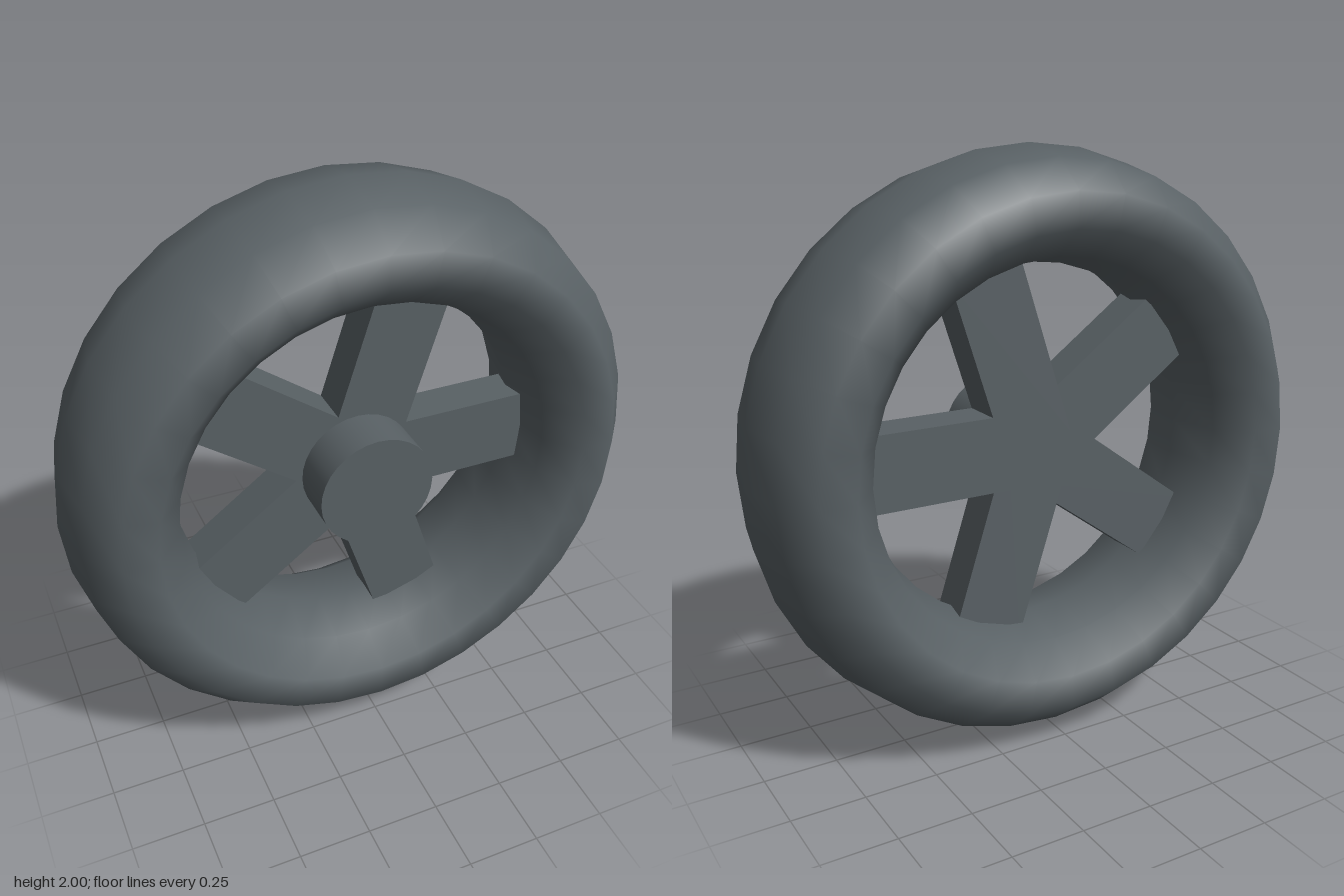
import * as THREE from 'three';

export function createModel() {
  const wheel = new THREE.Group();
  wheel.name = 'wheel';
  const rubber = new THREE.MeshStandardMaterial({ name: 'darkGrey', color: 0x596165 });

  const add = (name, geometry) => {
    const mesh = new THREE.Mesh(geometry, rubber);
    mesh.name = name;
    mesh.position.y = 1;
    wheel.add(mesh);
    return mesh;
  };

  // Tyre: a ring stretched along the axle
  const tyre = new THREE.TorusGeometry(0.81, 0.19, 10, 32);
  tyre.scale(1, 1, 1.667);
  add('tyre', tyre);

  // Five spokes, their outer ends sunk into the tyre
  const spoke = new THREE.BoxGeometry(0.66, 0.26, 0.15);
  spoke.translate(0.33, 0, 0);
  for (let i = 0; i < 5; i++) {
    add('spoke' + (i + 1), spoke).rotation.z = (i * Math.PI * 2) / 5;
  }

  // Hub, standing out at the front only
  const hub = new THREE.CylinderGeometry(0.2, 0.2, 0.24, 32);
  hub.rotateX(Math.PI / 2);
  hub.translate(0, 0, 0.12);
  add('hub', hub);

  return wheel;
}
